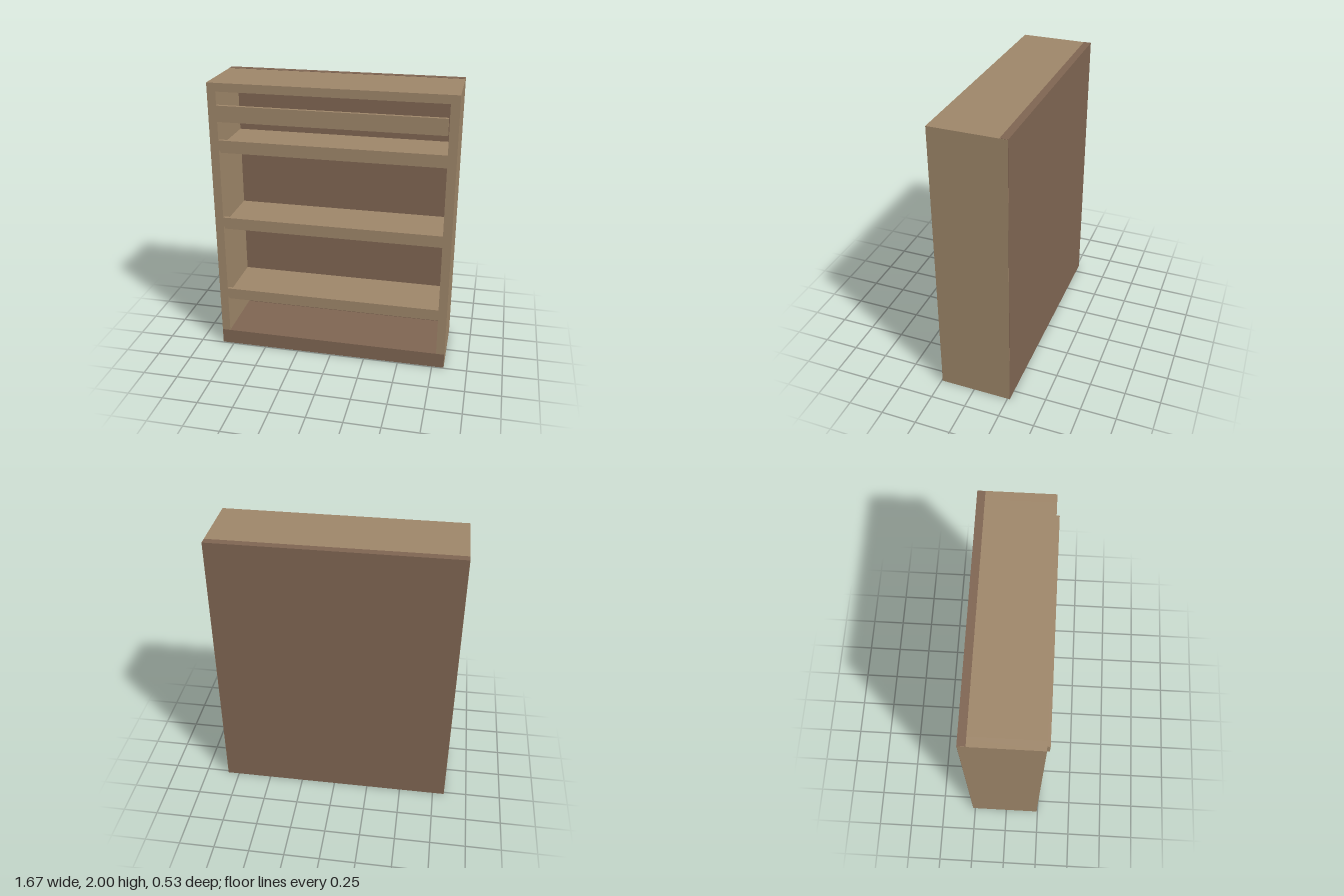
import * as THREE from 'three';

export function createModel() {
  const model = new THREE.Group();
  model.name = 'bookcase';
  const lightWood = new THREE.MeshStandardMaterial({ color: 0x9e8669 });
  lightWood.name = 'light wood';
  const darkWood = new THREE.MeshStandardMaterial({ color: 0x7f6552 });
  darkWood.name = 'dark wood';

  // Board given by its [min, max] extents along each axis
  function board(name, material, [x0, x1], [y0, y1], [z0, z1]) {
    const mesh = new THREE.Mesh(new THREE.BoxGeometry(x1 - x0, y1 - y0, z1 - z0), material);
    mesh.position.set((x0 + x1) / 2, (y0 + y1) / 2, (z0 + z1) / 2);
    mesh.name = name;
    model.add(mesh);
  }

  const outer = 0.835, inner = 0.775;
  const front = 0.242, back = -0.267, panelFront = -0.215;
  const gap = 0.0015; // keeps flush boards from sharing a plane
  const inside = [-inner, inner];
  const full = [-outer + gap, outer - gap];

  // Carcass: side walls, top, plinth and back panel
  board('rightSide', lightWood, [-outer, -inner], [gap, 2 - gap], [back + gap, front]);
  board('leftSide', lightWood, [inner, outer], [gap, 2 - gap], [back + gap, front]);
  board('topBoard', lightWood, inside, [1.94, 2 - gap], [panelFront, front]);
  board('base', darkWood, full, [0, 0.11], [panelFront, front + gap]);
  board('backPanel', darkWood, full, [0, 2], [back, panelFront]);

  // Shelves, each with a raised front lip
  const lipDepth = 0.023;
  for (const y of [0.37, 0.938, 1.508]) {
    board('shelf', lightWood, inside, [y, y + 0.045], [panelFront, front - lipDepth]);
    board('shelfLip', lightWood, inside, [y + 0.025, y + 0.095], [front - lipDepth, front]);
  }

  // Rail standing proud of the front
  board('frontRail', lightWood, [-0.77, 0.77], [1.74, 1.852], [front, 0.267]);

  return model;
}
